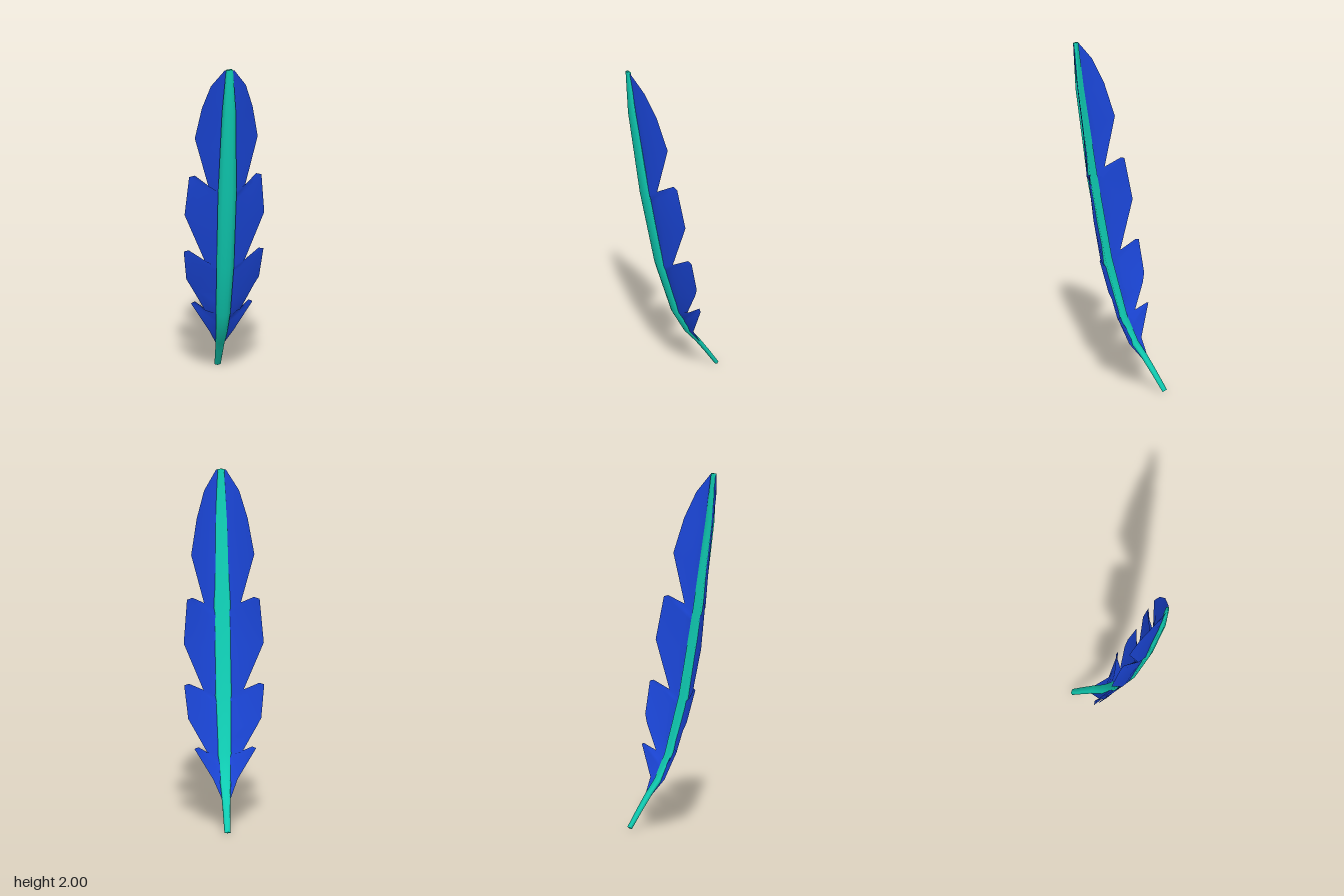
import * as THREE from 'three';

// Front line of the quill: [y, z, half width]
const SPINE = [
  [0.004, -0.283, 0.018], [0.1, -0.215, 0.022], [0.18, -0.155, 0.026], [0.26, -0.085, 0.032],
  [0.4, -0.005, 0.041], [0.73, 0.103, 0.05], [1.2, 0.2, 0.053], [1.73, 0.28, 0.04], [1.998, 0.3, 0.02],
];

// Half outline of the vane: [edge x, edge y, edge z, y where that barb leaves the quill]
const OUTLINE = [
  [0.027, 0.185, -0.168, 0.17], [0.07, 0.28, -0.102, 0.25],
  [0.176, 0.455, -0.088, 0.31], [0.153, 0.465, -0.092, 0.33], [0.1, 0.425, -0.043, 0.4],
  [0.18, 0.57, -0.05, 0.47], [0.208, 0.62, -0.043, 0.51], [0.228, 0.805, 0.003, 0.66],
  [0.2, 0.813, 0.01, 0.67], [0.115, 0.765, 0.06, 0.7],
  [0.228, 1.04, 0.043, 0.95], [0.207, 1.285, 0.085, 1.12], [0.175, 1.295, 0.092, 1.14],
  [0.105, 1.25, 0.157, 1.19],
  [0.18, 1.535, 0.132, 1.45], [0.145, 1.735, 0.182, 1.68], [0.1, 1.885, 0.235, 1.85],
  [0.027, 1.997, 0.288, 1.99],
];

function spineZ(y) {
  let i = 0;
  while (i < SPINE.length - 2 && y > SPINE[i + 1][0]) i++;
  const [y0, z0] = SPINE[i], [y1, z1] = SPINE[i + 1];
  return z0 + (z1 - z0) * (y - y0) / (y1 - y0);
}

// Skins rows of equal length; closed rows wrap round and get end caps
function skin(rows, closed) {
  const n = rows[0].length, index = [];
  for (let r = 0; r < rows.length - 1; r++) {
    for (let c = 0; c < (closed ? n : n - 1); c++) {
      const a = r * n + c, b = r * n + (c + 1) % n;
      index.push(a, b, b + n, a, b + n, a + n);
    }
  }
  if (closed) {
    const top = (rows.length - 1) * n;
    for (let c = 1; c < n - 1; c++) index.push(0, c + 1, c, top, top + c, top + c + 1);
  }
  const geometry = new THREE.BufferGeometry();
  geometry.setAttribute('position', new THREE.Float32BufferAttribute(rows.flat(2), 3));
  geometry.setIndex(index);
  geometry.computeVertexNormals();
  return geometry;
}

export function createModel() {
  const feather = new THREE.Group();
  feather.name = 'feather';

  // Quill: wide slightly bent front, narrower back
  const rings = SPINE.map(([y, z, w], i) => {
    const p = SPINE[Math.max(i - 1, 0)], q = SPINE[Math.min(i + 1, SPINE.length - 1)];
    const t = new THREE.Vector2(q[0] - p[0], q[1] - p[1]).normalize();
    const section = [
      [-w, -0.4 * w], [-0.5 * w, -0.1 * w], [0, 0], [0.5 * w, -0.1 * w], [w, -0.4 * w],
      [0.72 * w, -0.4 * w - 0.014], [0, -0.022], [-0.72 * w, -0.4 * w - 0.014],
    ];
    return section.map(([x, d]) => [x, y - t.y * d, z + t.x * d]);
  });
  const quill = new THREE.Mesh(skin(rings, true), new THREE.MeshStandardMaterial({ color: 0x0fcfb5 }));
  quill.name = 'quill';

  // Vane: both sides sweep back from the quill, split into barbs
  const rows = OUTLINE.map(([x, y, z, rootY]) => {
    const rootZ = spineZ(rootY) - 0.012;
    const along = (side, t) => [
      side * x * t,
      rootY + (y - rootY) * t,
      rootZ + (z - rootZ) * t + 0.2 * x * t * (1 - t),
    ];
    return [along(-1, 1), along(-1, 0.75), along(-1, 0.4), along(1, 0), along(1, 0.4), along(1, 0.75), along(1, 1)];
  });
  const vane = new THREE.Mesh(
    skin(rows, false),
    new THREE.MeshStandardMaterial({ color: 0x1a45d6, side: THREE.DoubleSide }),
  );
  vane.name = 'vane';

  feather.add(quill, vane);
  return feather;
}
